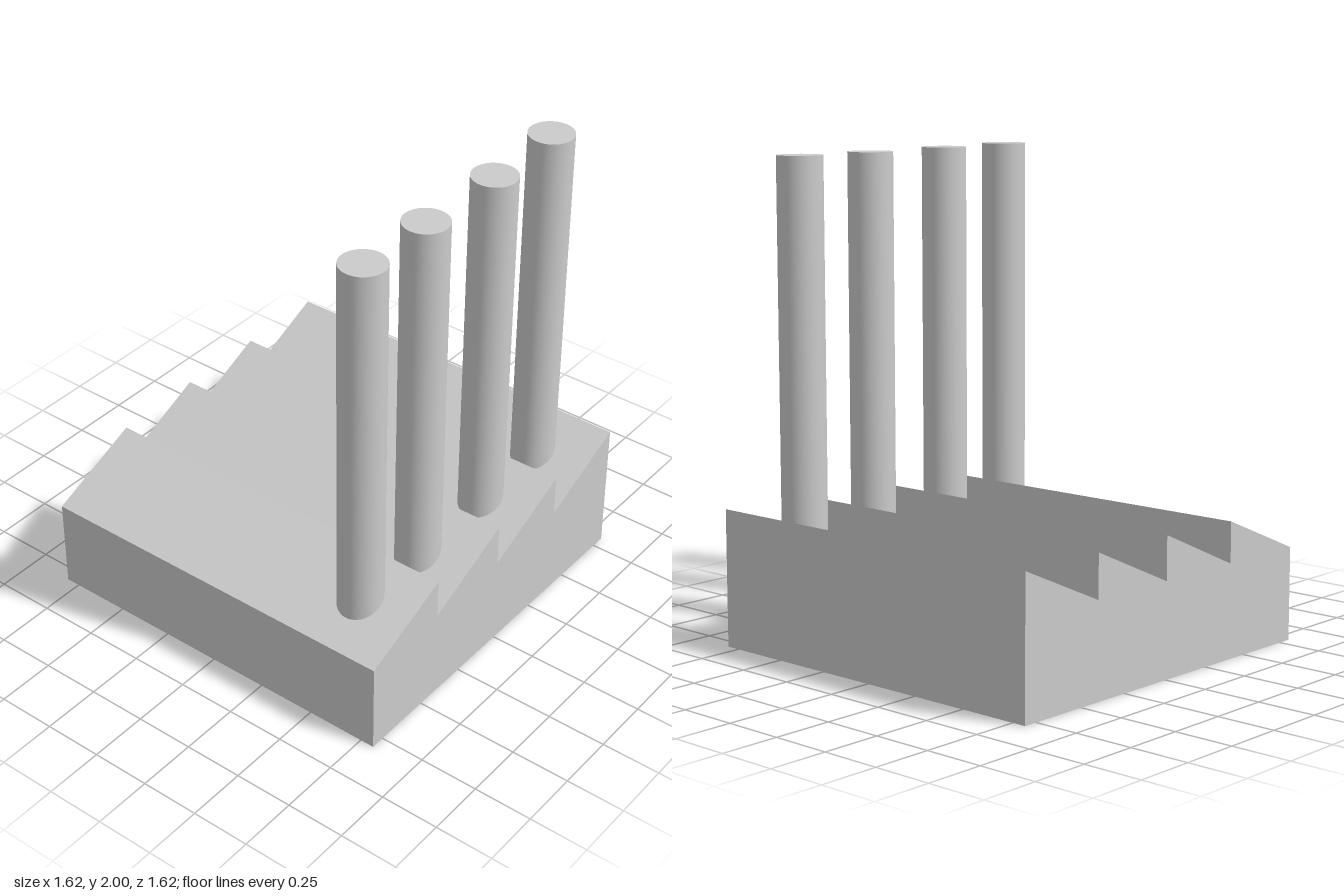
import * as THREE from 'three';

const HALF = 0.81;   // half width and half depth of the hall
const EAVE = 0.39;   // low edge of each roof tooth

// x, z and top height of each chimney
const CHIMNEYS = [
  [-0.59, 0.575, 2.0],
  [-0.22, 0.575, 1.995],
  [0.21, 0.575, 1.99],
  [0.61, 0.56, 1.99],
];

export function createModel() {
  const group = new THREE.Group();
  const material = new THREE.MeshStandardMaterial({ color: 0xcccccc });

  // Hall with sawtooth roof: front outline extruded along z
  const ridges = [0.56, 0.57, 0.57, 0.57];
  const step = (2 * HALF) / ridges.length;
  const outline = new THREE.Shape();
  outline.moveTo(HALF, 0);
  outline.lineTo(-HALF, 0);
  ridges.forEach((ridge, i) => {
    const x = -HALF + i * step;
    outline.lineTo(x, EAVE);
    outline.lineTo(x + step, ridge);
  });
  outline.closePath();
  const hallGeometry = new THREE.ExtrudeGeometry(outline, { depth: 2 * HALF, bevelEnabled: false });
  hallGeometry.translate(0, 0, -HALF);
  const hall = new THREE.Mesh(hallGeometry, material);
  hall.name = 'factoryHall';
  group.add(hall);

  // Chimneys, sunk a little below the roof slope
  const base = 0.38;
  CHIMNEYS.forEach(([x, z, top], i) => {
    const chimney = new THREE.Mesh(new THREE.CylinderGeometry(0.093, 0.093, top - base, 48), material);
    chimney.position.set(x, (top + base) / 2, z);
    chimney.name = `chimney${i + 1}`;
    group.add(chimney);
  });

  return group;
}
